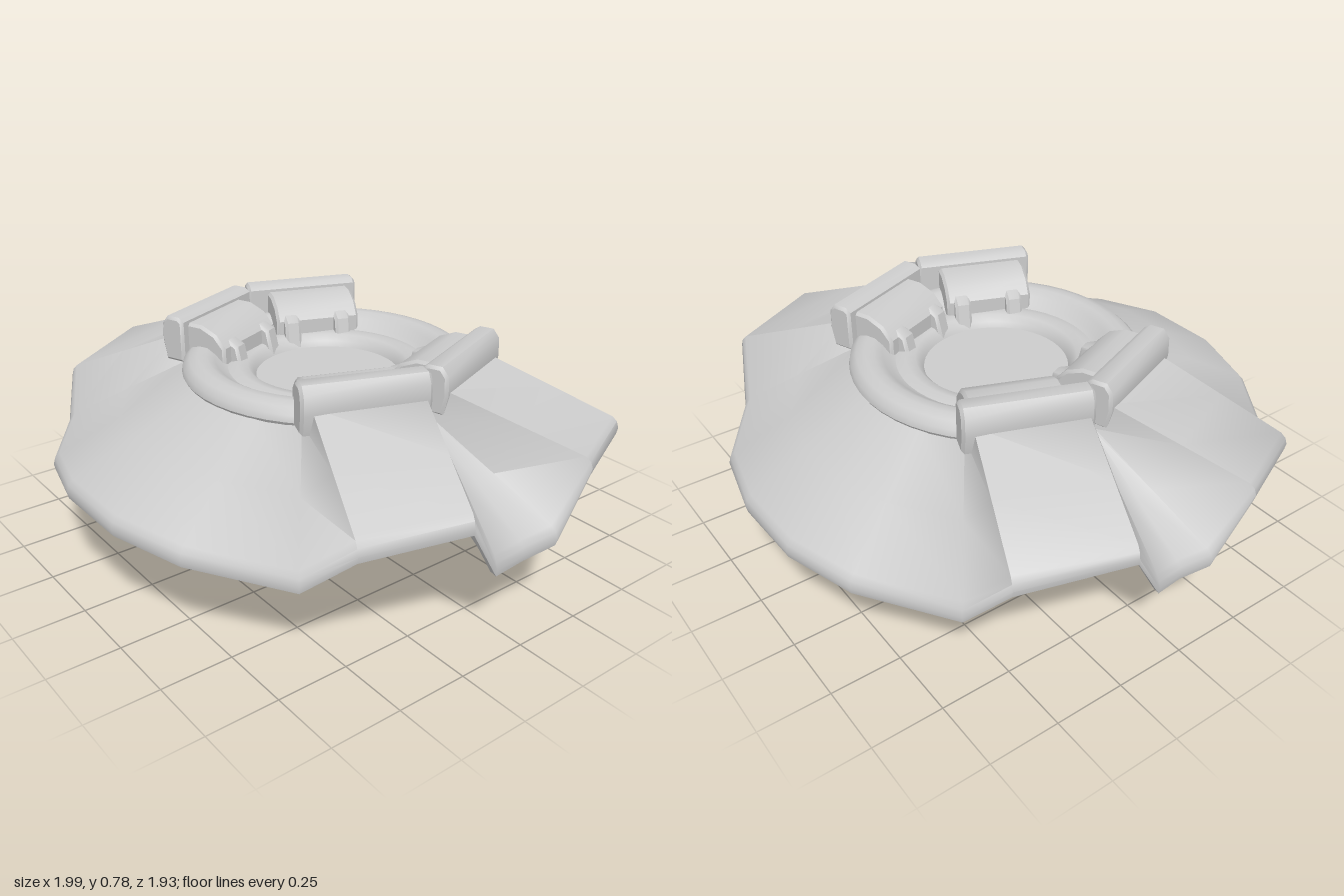
import * as THREE from 'three';
import { toCreasedNormals } from 'three/addons/utils/BufferGeometryUtils.js';

const grey = new THREE.MeshStandardMaterial({ color: 0xcccccc, side: THREE.DoubleSide });
const DEG = Math.PI / 180;

function part(name, geometry, crease = 0.7) {
  const mesh = new THREE.Mesh(toCreasedNormals(geometry, crease), grey);
  mesh.name = name;
  return mesh;
}

// Canopy rim, running from +x towards +z: x, z, height, angle of the matching inner point
const RIM = [
  [0.94, -0.05, 0.31, 0], [0.96, 0.09, 0.32, 1], [0.99, 0.23, 0.53, 4],
  [0.86, 0.55, 0.495, 43], [0.72, 0.65, 0.36, 47], [0.43, 0.87, 0.39, 66],
  [0.18, 0.96, 0.41, 80], [-0.12, 0.965, 0.41, 98], [-0.37, 0.90, 0.39, 113],
  [-0.70, 0.69, 0.36, 133], [-0.83, 0.60, 0.50, 137], [-0.99, 0.27, 0.54, 176],
  [-0.965, 0.14, 0.315, 179], [-0.94, 0.03, 0.30, 180], [-0.96, -0.08, 0.315, 181],
  [-1.0, -0.22, 0.54, 184], [-0.86, -0.57, 0.50, 223], [-0.72, -0.65, 0.33, 227],
  [-0.44, -0.87, 0.355, 245], [-0.20, -0.96, 0.375, 259], [0.08, -0.97, 0.375, 275],
  [0.35, -0.91, 0.365, 291], [0.66, -0.71, 0.35, 313], [0.81, -0.63, 0.53, 317],
  [0.97, -0.30, 0.545, 356], [0.95, -0.19, 0.32, 359],
];

// Section from the inner edge over the rolled lip and back: fraction out, drop, underside
const SECTION = [[0, 0, 0], [0.5, 0, 0], [0.95, 0, 0], [0.985, 0.01, 0], [1, 0.03, 0],
  [0.99, 0.055, 0], [0.92, 0.075, 0], [0.84, 0.05, 1], [0.45, 0.05, 1], [0, 0.05, 1]];

function canopyGeometry() {
  const pos = [], index = [], m = SECTION.length, n = RIM.length;
  RIM.forEach(([x, z, y, deg]) => {
    const ridge = y > 0.45, valley = !ridge && Math.abs(x) > 0.9;
    const top = ridge ? [0.555, 0.705] : valley ? [0.53, 0.61] : [0.505, 0.625];
    const under = ridge ? [0.39, 0.61] : [0.38, 0.54];
    for (const [t, drop, below] of SECTION) {
      const [r, yi] = below ? under : top;
      const xi = r * Math.cos(deg * DEG), zi = r * Math.sin(deg * DEG) - 0.01;
      const drops = below ? drop * t : drop;
      pos.push(xi + (x - xi) * t, yi + (y - yi) * t - drops, zi + (z - zi) * t);
    }
  });
  for (let i = 0; i < n; i++) {
    for (let j = 0; j < m; j++) {
      const k = (i + 1) % n, l = (j + 1) % m;
      const a = i * m + j, b = k * m + j, c = i * m + l, d = k * m + l;
      index.push(a, b, c, b, d, c);
    }
  }
  const g = new THREE.BufferGeometry();
  g.setAttribute('position', new THREE.Float32BufferAttribute(pos, 3));
  g.setIndex(index);
  return g;
}

// Prism with an outline in (outward, up), centred along z at the given offset
function prism(points, length, offset) {
  const shape = new THREE.Shape(points.map(([x, y]) => new THREE.Vector2(x, y)));
  const g = new THREE.ExtrudeGeometry(shape, {
    depth: length - 0.02, bevelEnabled: true, bevelSegments: 1,
    bevelSize: 0.01, bevelThickness: 0.01, bevelOffset: -0.01,
  });
  return g.translate(0, 0, offset - length / 2 + 0.01);
}

// Plank with rounded long edges, leaning outwards as it rises
function legGeometry() {
  const w = 0.058, t = 0.027, shape = new THREE.Shape();
  shape.moveTo(-t, -w + t);
  shape.absarc(0, -w + t, t, Math.PI, Math.PI * 2);
  shape.lineTo(t, w - t);
  shape.absarc(0, w - t, t, 0, Math.PI);
  shape.closePath();
  const g = new THREE.ExtrudeGeometry(shape, { depth: 0.56, bevelEnabled: false, curveSegments: 8 });
  return g.rotateX(-Math.PI / 2).rotateZ(-0.43).translate(0.145, 0.012, 0);
}

// Everything repeated in each quadrant; local +x points outwards
function quadrant(angle, side) {
  const g = new THREE.Group();
  g.name = 'bracketAndLeg';
  g.rotation.y = -angle;
  g.position.z = -0.01;
  g.add(part('bracketPlate', prism([[0.455, 0.62], [0.535, 0.62], [0.55, 0.69], [0.548, 0.755],
    [0.525, 0.785], [0.475, 0.785], [0.455, 0.77]], 0.43, 0.03 * side)));
  g.add(part('bracketBlock', prism([[0.30, 0.60], [0.47, 0.60], [0.47, 0.76], [0.40, 0.76],
    [0.34, 0.735], [0.30, 0.69]], 0.32, 0.05 * side)));
  for (const v of [-0.055, 0.14]) {
    g.add(part('bracketTab', prism([[0.255, 0.60], [0.32, 0.60], [0.32, 0.71], [0.275, 0.69]],
      0.06, v * side)));
  }
  const leg = part('leg', legGeometry());
  leg.position.z = 0.016 * side;
  g.add(leg);
  return g;
}

export function createModel() {
  const model = new THREE.Group();
  model.name = 'canopy';
  model.add(part('canopyShell', canopyGeometry(), 0.9));

  // Stepped ring around the central opening
  const profile = [[0.245, 0.57], [0.245, 0.51], [0.27, 0.485], [0.31, 0.475], [0.35, 0.49],
    [0.375, 0.53], [0.40, 0.59], [0.505, 0.61], [0.517, 0.63], [0.512, 0.652], [0.49, 0.672],
    [0.46, 0.682], [0.43, 0.682], [0.40, 0.665], [0.375, 0.64], [0.355, 0.63], [0.32, 0.64],
    [0.285, 0.635], [0.265, 0.615], [0.245, 0.57]];
  const ring = part('centralRing', new THREE.LatheGeometry(
    profile.map(([r, y]) => new THREE.Vector2(r, y)), 48));
  ring.position.z = -0.01;
  model.add(ring);

  const floor = part('centralDisc', new THREE.CylinderGeometry(0.26, 0.25, 0.08, 48));
  floor.position.set(0, 0.555, -0.01);
  model.add(floor);

  // Brackets and legs in four mirrored quadrants
  const a = 21.5;
  [[a, 1], [-a, -1], [180 - a, -1], [180 + a, 1]].forEach(([deg, side]) => {
    model.add(quadrant(deg * DEG, side));
  });
  return model;
}
